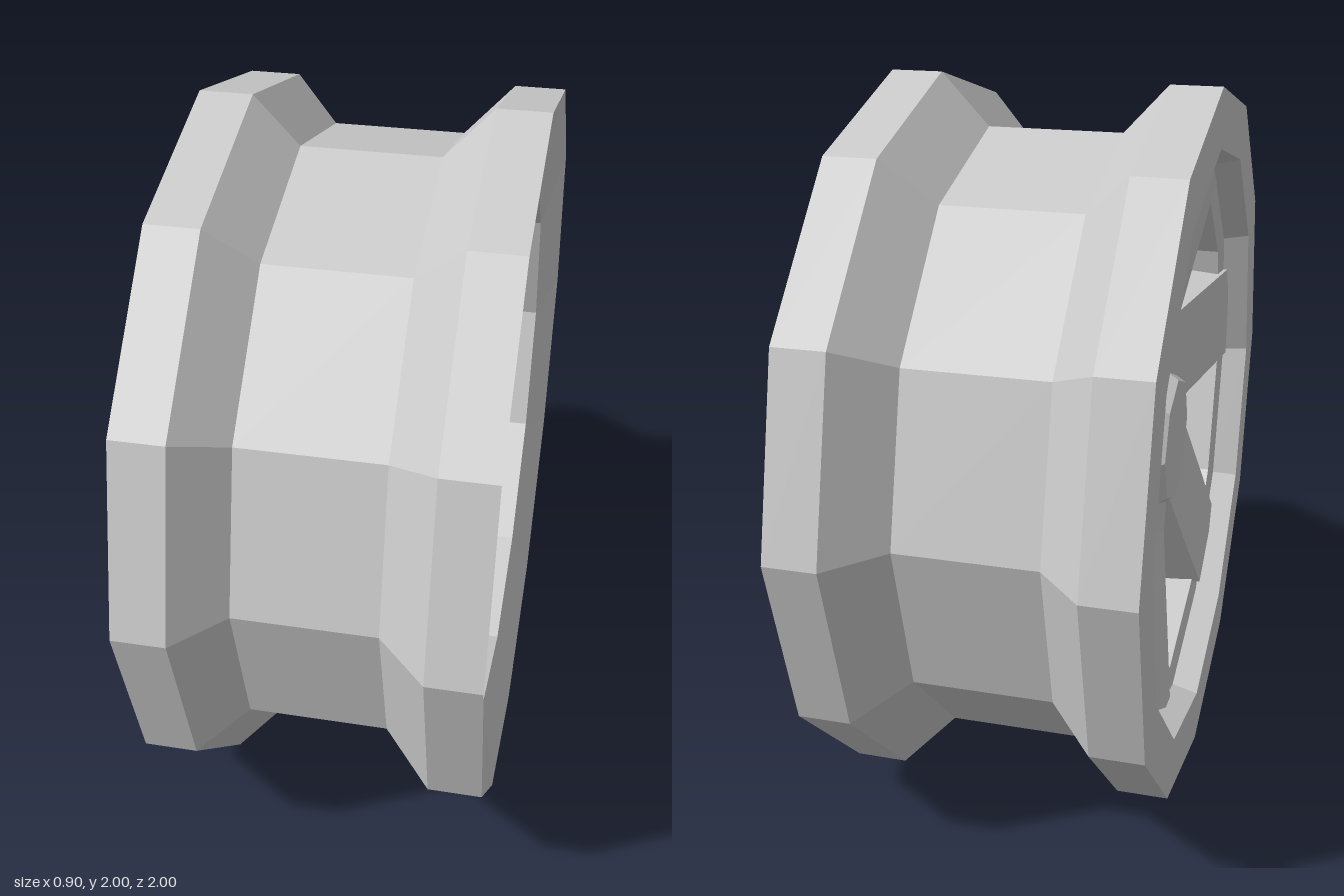
import * as THREE from 'three';

const material = new THREE.MeshStandardMaterial({ color: 0xcccccc, flatShading: true });

// Faceted solid of revolution about the x axis; profile points are [x, radius]
function turned(name, profile, sides) {
  const points = profile.map(([x, r]) => new THREE.Vector2(r, x));
  const geometry = new THREE.LatheGeometry(points, sides);
  geometry.rotateZ(-Math.PI / 2);
  const mesh = new THREE.Mesh(geometry, material);
  mesh.name = name;
  return mesh;
}

// Spoke: dished side profile in (x, y) extruded across z, flaring slightly at the tip
function spokeGeometry() {
  const shape = new THREE.Shape([
    [-0.3, 0], [-0.1, 0], [-0.1, 0.55], [-0.15, 0.76], [-0.39, 0.76], [-0.31, 0.25],
  ].map(([x, y]) => new THREE.Vector2(x, y)));
  const geometry = new THREE.ExtrudeGeometry(shape, { depth: 1, bevelEnabled: false });
  const p = geometry.attributes.position;
  for (let i = 0; i < p.count; i++) {
    const atBackTip = p.getY(i) > 0.7 && p.getX(i) > -0.2;
    const width = atBackTip ? 0.335 : 0.29;
    p.setZ(i, (p.getZ(i) - 0.5) * width - 0.15);
  }
  geometry.computeVertexNormals();
  return geometry;
}

export function createModel() {
  const wheel = new THREE.Group();
  wheel.name = 'wheelRim';
  wheel.position.y = 1;

  // Twelve-sided barrel with a flange at each end; the deep face is slightly dished
  wheel.add(turned('barrel', [
    [-0.45, 0.83], [-0.45, 0.99], [-0.31, 0.99], [-0.19, 0.86], [0.18, 0.86],
    [0.31, 1], [0.45, 1], [0.4, 0.75], [-0.365, 0.75], [-0.375, 0.81], [-0.45, 0.83],
  ], 12));

  // Plate behind the spokes
  wheel.add(turned('backPlate', [
    [-0.13, 0], [-0.13, 0.58], [-0.05, 0.6], [-0.05, 0],
  ], 12));

  // Hub on the deep side and cap on the spoke side
  wheel.add(turned('hub', [
    [-0.06, 0], [-0.06, 0.33], [0.21, 0.33], [0.3, 0.26], [0.3, 0],
  ], 8));
  wheel.add(turned('hubCap', [
    [-0.36, 0], [-0.36, 0.18], [-0.33, 0.2], [-0.2, 0.2],
  ], 8));

  // Six spokes set off to one side of the axle
  const geometry = spokeGeometry();
  for (let i = 0; i < 6; i++) {
    const spoke = new THREE.Mesh(geometry, material);
    spoke.name = 'spoke';
    spoke.rotation.x = THREE.MathUtils.degToRad(30 + 60 * i);
    wheel.add(spoke);
  }

  const model = new THREE.Group();
  model.name = 'wheel';
  model.add(wheel);
  return model;
}
